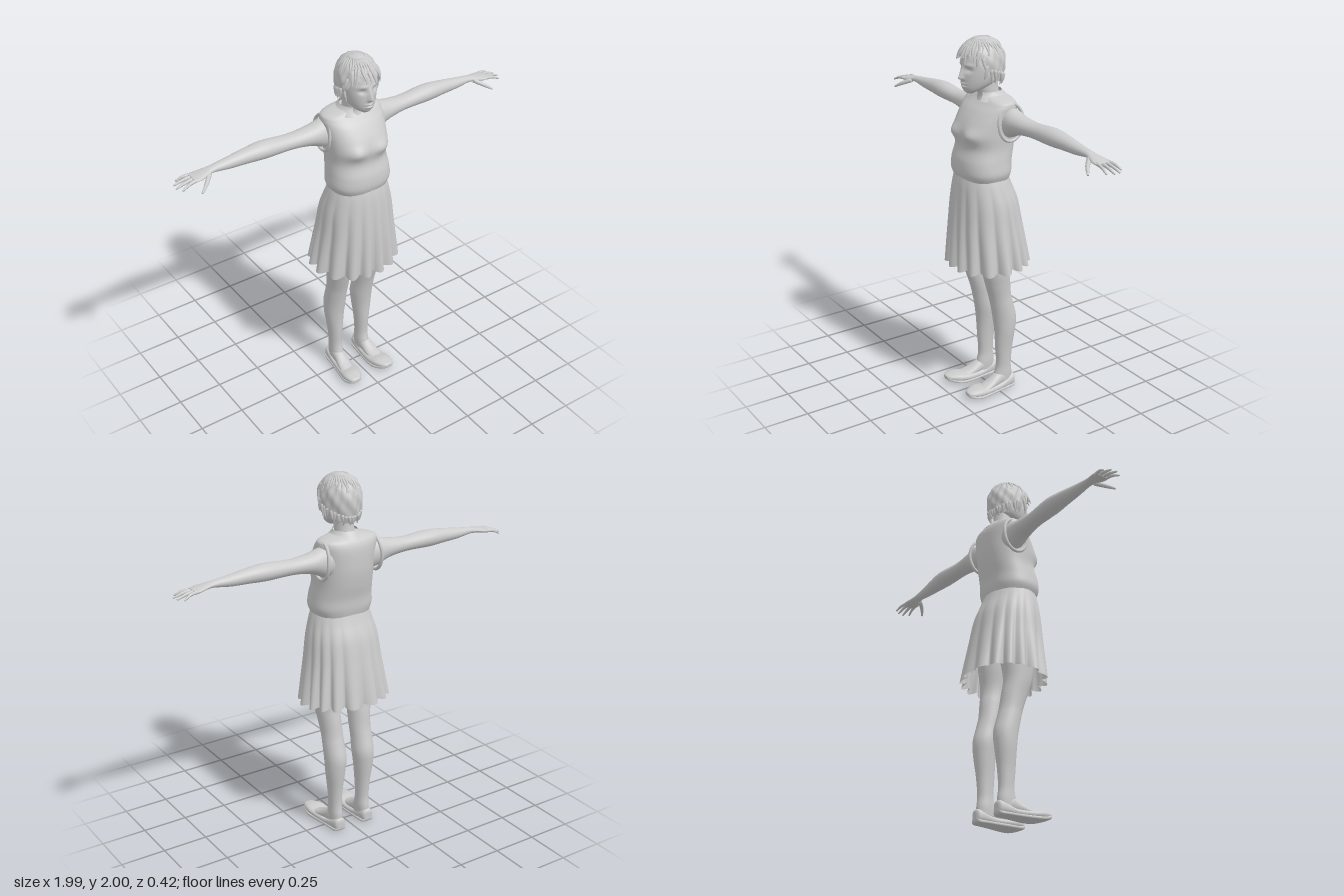
import * as THREE from 'three';

const skin = new THREE.MeshStandardMaterial({ color: 0xcccccc });
const cloth = new THREE.MeshStandardMaterial({ color: 0xcccccc, side: THREE.DoubleSide });
const bump = (d, w) => Math.exp(-((d / w) ** 2));

// Surface from f(u, v): optionally closed round u and capped at both ends, facing outward
function grid(nu, nv, f, closed = true, caps = false) {
  const pos = [], idx = [], cols = closed ? nu : nu + 1;
  for (let j = 0; j <= nv; j++)
    for (let i = 0; i < cols; i++) pos.push(...f(i / nu, j / nv));
  for (let j = 0; j < nv; j++)
    for (let i = 0; i < nu; i++) {
      const a = j * cols + i, b = j * cols + ((i + 1) % cols);
      idx.push(a, b, b + cols, a, b + cols, a + cols);
    }
  if (caps) for (const j of [0, nv]) {
    const c = [0, 0, 0], n = pos.length / 3;
    for (let i = 0; i < cols; i++) for (let k = 0; k < 3; k++) c[k] += pos[(j * cols + i) * 3 + k] / cols;
    pos.push(...c);
    for (let i = 0; i < cols; i++) {
      const a = j * cols + i, b = j * cols + ((i + 1) % cols);
      idx.push(n, j ? a : b, j ? b : a);
    }
  }
  const P = (i) => new THREE.Vector3().fromArray(pos, i * 3), o = P(0);
  let vol = 0;
  for (let i = 0; i < idx.length; i += 3)
    vol += P(idx[i]).sub(o).dot(P(idx[i + 1]).sub(o).cross(P(idx[i + 2]).sub(o)));
  if (vol < 0) idx.reverse();
  const g = new THREE.BufferGeometry();
  g.setAttribute('position', new THREE.Float32BufferAttribute(pos, 3));
  g.setIndex(idx);
  g.computeVertexNormals();
  return g;
}

// Smoothly interpolated cross-section bounds
function sample(rows, v) {
  const x = v * (rows.length - 1), i = Math.min(Math.floor(x), rows.length - 2), t = x - i;
  const at = (k) => rows[Math.max(0, Math.min(rows.length - 1, k))];
  return rows[0].map((_, c) => {
    const [p, q, r, s] = [at(i - 1)[c], at(i)[c], at(i + 1)[c], at(i + 2)[c]];
    return q + 0.5 * t * (r - p + t * (2 * p - 5 * q + 4 * r - s + t * (3 * (q - r) + s - p)));
  });
}

// Loft through rows [position on axis, min a, max a, min b, max b]
function loft(rows, { axis = 'y', side = 1, n = 24, steps = 5, power = 1, grow = 0, warp, open, caps = !open } = {}) {
  const S = (x) => Math.sign(x) * Math.abs(x) ** power;
  return grid(n, (rows.length - 1) * steps, (u, v) => {
    const [t, a0, a1, b0, b1] = sample(rows, v);
    const gap = open ? open(t) : 0, th = gap + u * (Math.PI - gap) * 2;
    const a = (a0 + a1) / 2 + ((a1 - a0) / 2 + grow) * S(Math.sin(th));
    const b = (b0 + b1) / 2 + ((b1 - b0) / 2 + grow) * S(Math.cos(th));
    let p = axis === 'y' ? [a, t, b] : axis === 'x' ? [t, a, b] : [a, b, t];
    if (warp) p = warp(p, th, v);
    return [p[0] * side, p[1], p[2]];
  }, !open, caps);
}

// Tapered strand along a few points, used for fingers and hair
function strand(points, radius, tip = 0.3, n = 8, steps = 8) {
  const curve = new THREE.CatmullRomCurve3(points.map((p) => new THREE.Vector3(...p)));
  const fr = curve.computeFrenetFrames(steps);
  return grid(n, steps, (u, v) => {
    const k = Math.round(v * steps), r = radius * (1 - (1 - tip) * v * v), a = u * Math.PI * 2;
    return curve.getPointAt(v).addScaledVector(fr.normals[k], r * Math.cos(a))
      .addScaledVector(fr.binormals[k], r * Math.sin(a)).toArray();
  }, true, true);
}

const sym = (rows) => rows.map(([t, w, b0, b1]) => [t, -w, w, b0, b1]);
const HEAD = sym([[1.716, 0.022, 0.085, 0.125], [1.735, 0.05, 0.03, 0.141], [1.77, 0.074, -0.04, 0.149], [1.82, 0.087, -0.062, 0.15],
  [1.87, 0.091, -0.07, 0.147], [1.92, 0.087, -0.065, 0.133], [1.96, 0.062, -0.04, 0.098], [1.982, 0.03, 0, 0.06]]);
const NECK = sym([[1.55, 0.08, -0.09, 0.08], [1.64, 0.07, -0.085, 0.065], [1.69, 0.054, -0.068, 0.05], [1.73, 0.05, -0.06, 0.06], [1.79, 0.05, -0.055, 0.07]]);
const VEST = sym([[1.26, 0.158, -0.092, 0.165], [1.3, 0.173, -0.1, 0.178], [1.36, 0.168, -0.105, 0.175], [1.43, 0.16, -0.12, 0.157],
  [1.5, 0.163, -0.13, 0.164], [1.56, 0.166, -0.132, 0.147], [1.62, 0.17, -0.13, 0.108], [1.655, 0.171, -0.122, 0.075],
  [1.678, 0.155, -0.108, 0.055], [1.697, 0.075, -0.085, 0.045]]);
const SKIRT = sym([[1.275, 0.157, -0.09, 0.168], [1.22, 0.175, -0.11, 0.18], [1.13, 0.199, -0.145, 0.191], [1, 0.217, -0.172, 0.202],
  [0.88, 0.238, -0.195, 0.21], [0.77, 0.257, -0.215, 0.217]]);
const LEG = [[1.1, 0.01, 0.16, -0.085, 0.13], [0.9, 0.015, 0.178, -0.085, 0.12], [0.75, 0.035, 0.17, -0.065, 0.095], [0.66, 0.035, 0.158, -0.075, 0.07],
  [0.58, 0.033, 0.15, -0.085, 0.045], [0.52, 0.033, 0.15, -0.1, 0.03], [0.44, 0.03, 0.15, -0.12, 0.015], [0.36, 0.038, 0.146, -0.115, 0.005],
  [0.25, 0.05, 0.132, -0.1, 0], [0.15, 0.055, 0.125, -0.093, -0.005], [0.09, 0.053, 0.125, -0.1, 0.008], [0.04, 0.056, 0.123, -0.098, 0.015]];
const FOOT = [[-0.095, 0.075, 0.11, 0.02, 0.08], [-0.04, 0.06, 0.125, 0.02, 0.115], [0, 0.058, 0.128, 0.02, 0.1], [0.06, 0.058, 0.138, 0.02, 0.066], [0.12, 0.07, 0.145, 0.02, 0.045]];
const SHOE = [[-0.113, 0.078, 0.107, 0.02, 0.06], [-0.1, 0.06, 0.125, 0.005, 0.076], [-0.05, 0.053, 0.132, 0.004, 0.06], [0, 0.05, 0.137, 0.004, 0.046],
  [0.08, 0.043, 0.15, 0.006, 0.048], [0.14, 0.05, 0.158, 0.01, 0.058], [0.19, 0.077, 0.146, 0.024, 0.053], [0.206, 0.1, 0.125, 0.034, 0.046]];
const ARM = [[0.1, 1.48, 1.645, -0.1, 0.02], [0.17, 1.495, 1.648, -0.104, 0.022], [0.24, 1.525, 1.63, -0.1, 0.013], [0.35, 1.54, 1.62, -0.095, 0],
  [0.5, 1.54, 1.63, -0.104, 0], [0.6, 1.545, 1.622, -0.095, -0.01], [0.7, 1.55, 1.608, -0.085, -0.02], [0.78, 1.561, 1.598, -0.077, -0.025],
  [0.82, 1.562, 1.591, -0.08, -0.018], [0.87, 1.556, 1.582, -0.092, -0.004], [0.905, 1.556, 1.575, -0.091, -0.01]];

// Nose, eye sockets, brows and lips pushed into the front of the face
function faceWarp([x, y, z]) {
  if (z < 0.06) return [x, y, z];
  const ramp = y < 1.8 ? bump(y - 1.8, 0.011) : Math.max(0, 1 - (y - 1.8) / 0.065);
  let d = 0.027 * bump(x, 0.013) * ramp;
  d -= 0.011 * bump(Math.abs(x) - 0.036, 0.019) * bump(y - 1.843, 0.013);
  d += 0.004 * bump(Math.abs(x) - 0.036, 0.025) * bump(y - 1.868, 0.009);
  d += bump(x, 0.022) * (0.007 * bump(y - 1.769, 0.006) + 0.007 * bump(y - 1.753, 0.006) - 0.004 * bump(y - 1.761, 0.003));
  return [x, y, z + d];
}

// Point on the hair cap; turn 0 is the front, drop 0 is the crown
function hairPoint(turn, drop, out = 1) {
  const c = Math.cos(drop), s = drop < Math.PI / 2 ? Math.sin(drop) : 1 - 0.22 * c * c;
  const k = out * s * (1 + 0.025 * Math.sin(drop) * (Math.sin(17 * turn + 5 * drop) + 0.7 * Math.sin(9 * turn - 8 * drop)));
  return [0.106 * k * Math.sin(turn), 1.87 + 0.126 * c * (1 + (out - 1) * 0.4), 0.032 + 0.124 * k * Math.cos(turn)];
}
function hairEdge(turn) {
  const c = Math.cos(turn);
  const y = c > 0 ? 1.79 + 0.115 * THREE.MathUtils.smoothstep(c, 0.1, 0.8) : 1.79 + 0.035 * c;
  return Math.acos((y - 1.87) / 0.126);
}

export function createModel() {
  const model = new THREE.Group();
  const add = (name, geometry, material = skin, parent = model) => {
    const m = new THREE.Mesh(geometry, material);
    m.name = name;
    parent.add(m);
    return m;
  };
  const group = (name) => { const g = new THREE.Group(); g.name = name; model.add(g); return g; };

  // Head and hair
  add('head', loft(HEAD, { n: 96, steps: 12, warp: faceWarp }));
  add('neck', loft(NECK));
  const hair = group('hair');
  add('hairCap', grid(96, 28, (u, v) => {
    const turn = u * Math.PI * 2;
    return hairPoint(turn, 0.03 + v * (hairEdge(turn) - 0.03));
  }), cloth, hair);
  for (let i = 0; i < 34; i++) {
    const turn = (i / 34) * Math.PI * 2, edge = hairEdge(turn), sway = 0.16 * Math.sin(i * 2.4);
    const end = Math.min(edge + 0.14 + 0.1 * Math.sin(i * 1.7), 2.85);
    add('edgeLock', strand([hairPoint(turn, edge - 0.5, 0.98), hairPoint(turn + sway / 2, edge - 0.15, 1.03),
      hairPoint(turn + sway, end, 1.04 + 0.05 * Math.sin(i * 3.1) ** 2)], 0.01, 0.1, 6, 6), skin, hair);
    add('crownLock', strand([hairPoint(turn, 0.35, 0.97), hairPoint(turn + 0.2, 0.75, 1.01),
      hairPoint(turn + 0.2 + sway, 1.2 + 0.1 * sway, 1.01)], 0.008, 0.15, 6, 6), skin, hair);
  }

  // Vest with a notched neckline, and the chest showing through it
  const bust = ([x, y, z], th) => [x, y, z + (Math.cos(th) > 0 ? 0.02 * bump(Math.abs(x) - 0.08, 0.05) * bump(y - 1.505, 0.035) : 0)];
  const notch = (y) => 0.004 + 0.55 * THREE.MathUtils.clamp((y - 1.51) / 0.185, 0, 1) ** 1.4;
  add('chest', loft(VEST, { n: 40, power: 0.85, grow: -0.008, warp: bust }));
  add('vest', loft(VEST, { n: 72, steps: 7, power: 0.85, warp: bust, open: notch }), cloth);
  add('collar', loft(sym([[1.715, 0.064, -0.078, 0.056], [1.7, 0.075, -0.092, 0.062], [1.672, 0.105, -0.118, 0.085]]),
    { n: 40, open: () => 0.5 }), cloth);

  // Pleated skirt and hidden hips
  add('skirt', loft(SKIRT, {
    n: 160, steps: 7, caps: false, power: 0.95, warp: ([x, y, z], th, v) => {
      const fold = Math.abs(Math.sin(8 * th + 0.6 * Math.sin(3 * th)));
      const k = 1 - 0.17 * v ** 1.6 * (1 - fold);
      return [x * k, y - v ** 3 * (0.012 * Math.cos(th) + 0.012 * (fold - 0.5)), z * k];
    },
  }), cloth);
  add('hips', loft(sym([[0.95, 0.1, -0.08, 0.1], [1.05, 0.165, -0.1, 0.14], [1.2, 0.155, -0.09, 0.15], [1.3, 0.15, -0.085, 0.15]])));

  for (const side of [1, -1]) {
    const tag = side > 0 ? 'left' : 'right';
    const limb = (name, points, r, tip, parent) =>
      add(name, strand(points.map(([x, y, z]) => [x * side, y, z]), r, tip), skin, parent);

    // Face details
    const eye = add(tag + 'Eye', new THREE.SphereGeometry(0.011, 16, 12));
    eye.position.set(0.036 * side, 1.843, 0.119);
    eye.scale.set(1.2, 0.7, 0.8);
    const ear = add(tag + 'Ear', new THREE.SphereGeometry(0.024, 16, 12));
    ear.position.set(0.09 * side, 1.825, 0.025);
    ear.scale.set(0.4, 1.1, 0.7);

    // Arm, hand and armhole trim
    const arm = group(tag + 'Arm');
    add(tag + 'ArmAndPalm', loft(ARM, { axis: 'x', side }), skin, arm);
    for (const [z, tipX, tipZ] of [[-0.081, 0.965, -0.1], [-0.061, 0.99, -0.07], [-0.04, 0.995, -0.037], [-0.02, 0.975, -0.004]])
      limb('finger', [[0.88, 1.567, z], [0.93, 1.563, (z + tipZ) / 2], [tipX, 1.545, tipZ]], 0.0095, 0.45, arm);
    limb('thumb', [[0.815, 1.572, -0.03], [0.855, 1.55, 0.012], [0.895, 1.525, 0.04]], 0.013, 0.4, arm);
    const hole = [];
    for (let i = 0; i < 16; i++) {
      const a = (i / 16) * Math.PI * 2;
      hole.push(new THREE.Vector3(side * (0.165 - 0.012 * Math.max(0, Math.sin(a))), 1.572 + 0.098 * Math.sin(a), -0.038 + 0.075 * Math.cos(a)));
    }
    add(tag + 'ArmholeTrim', new THREE.TubeGeometry(new THREE.CatmullRomCurve3(hole, true), 48, 0.009, 8, true));

    // Leg, foot and flat shoe
    add(tag + 'Leg', loft(LEG, { side }));
    add(tag + 'Foot', loft(FOOT, { axis: 'z', side }));
    add(tag + 'Shoe', loft(SHOE, { axis: 'z', side, power: 0.8 }));
    add(tag + 'Sole', loft(SHOE.map(([z, a, b, c]) => [z, a, b, Math.max(0, c - 0.006), c + 0.01]), { axis: 'z', side, power: 0.5, grow: 0.002 }))
      .position.y = 0.002;
  }
  return model;
}
